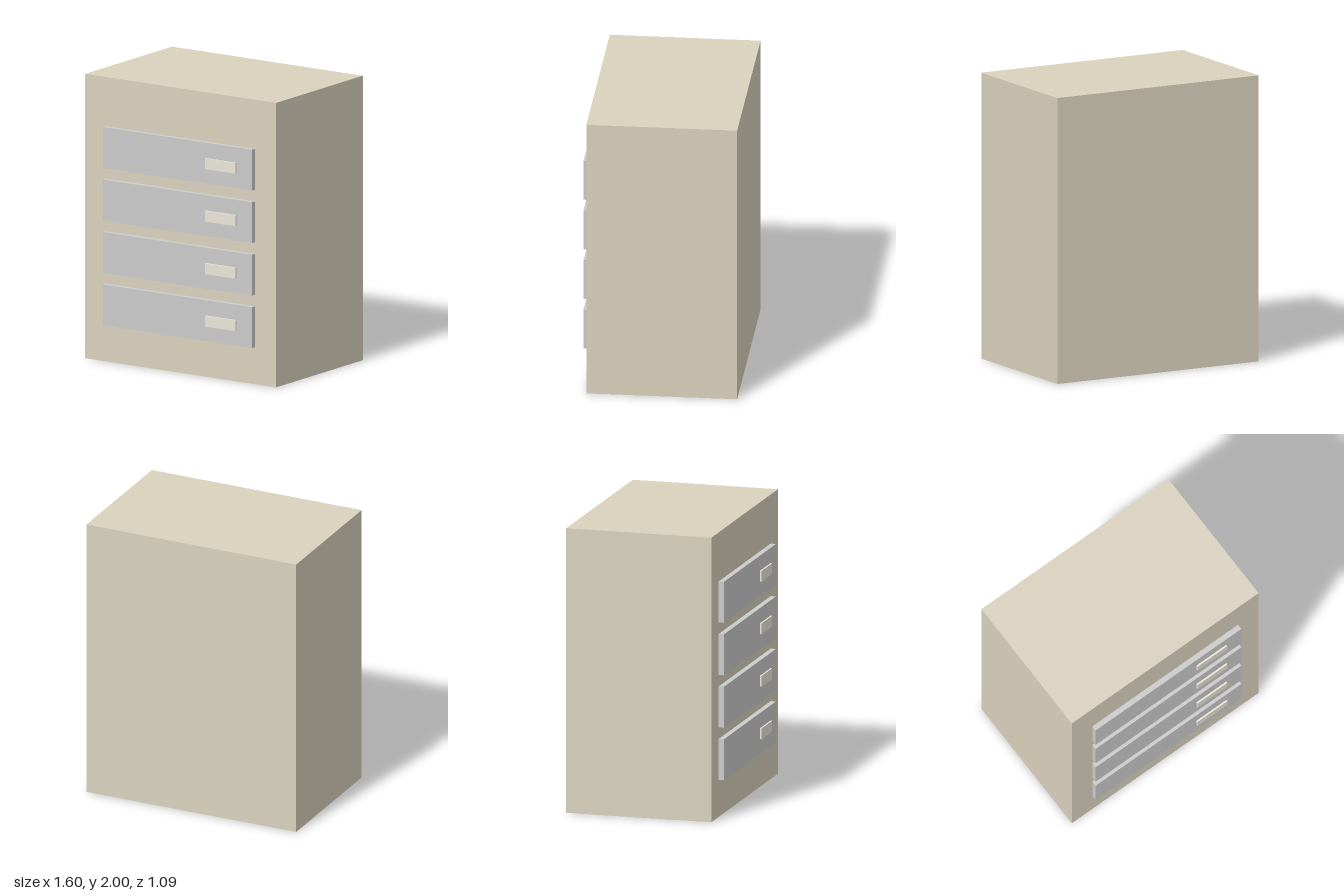
import * as THREE from 'three';

const material = (color) => new THREE.MeshStandardMaterial({ color });

// Box given by its min and max corners
function box(name, mat, [x0, y0, z0], [x1, y1, z1]) {
  const mesh = new THREE.Mesh(new THREE.BoxGeometry(x1 - x0, y1 - y0, z1 - z0), mat);
  mesh.name = name;
  mesh.position.set((x0 + x1) / 2, (y0 + y1) / 2, (z0 + z1) / 2);
  return mesh;
}

export function createModel() {
  const group = new THREE.Group();
  group.name = 'drawerCabinet';
  const bodyMat = material(0xdad2be);
  const drawerMat = material(0xcccccc);
  const handleMat = material(0xebe6d7);
  const back = -0.545, front = 0.495;

  // Cabinet body
  group.add(box('cabinetBody', bodyMat, [-0.798, 0, back], [0.798, 2, front]));

  // Four drawers, each with an offset handle plate
  for (let i = 0; i < 4; i++) {
    const drawer = new THREE.Group();
    drawer.name = `drawer${i + 1}`;
    drawer.position.y = 0.26 + i * 0.369;
    drawer.add(
      box('drawerFront', drawerMat, [-0.623, 0, front], [0.623, 0.288, 0.533]),
      box('drawerHandle', handleMat, [0.238, 0.105, 0.533], [0.494, 0.181, 0.545])
    );
    group.add(drawer);
  }
  return group;
}
